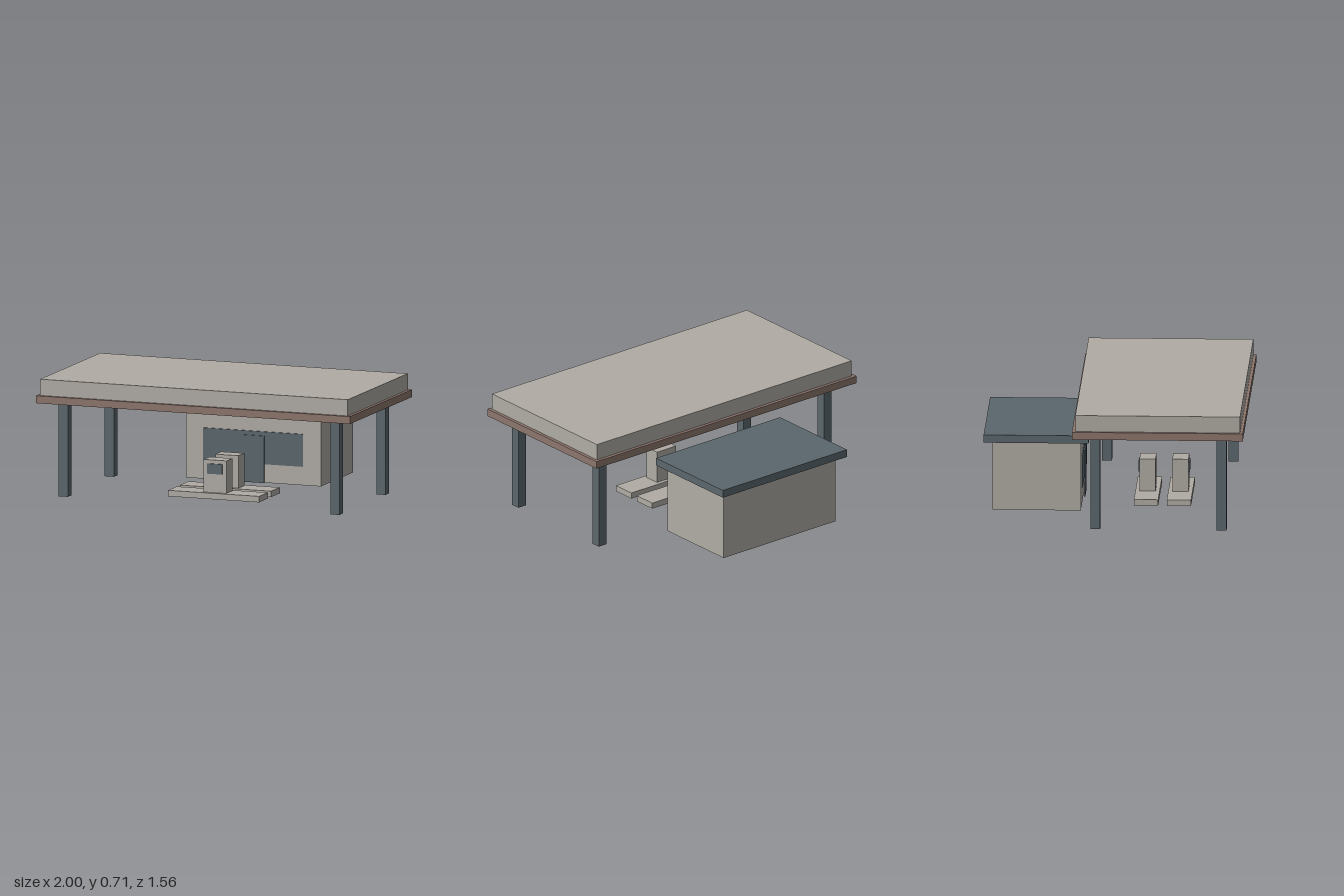
import * as THREE from 'three';

export function createModel() {
  const model = new THREE.Group();
  model.name = 'fuelStation';

  const material = (name, color) => {
    const m = new THREE.MeshStandardMaterial({ color });
    m.name = name;
    return m;
  };
  const concrete = material('warm grey', 0xb0aca5);
  const slate = material('slate', 0x5b676d);
  const trim = material('brown trim', 0x8d766d);

  // Box given by its lower and upper limits on each axis
  const box = (parent, name, mat, [x0, x1], [y0, y1], [z0, z1]) => {
    const mesh = new THREE.Mesh(new THREE.BoxGeometry(x1 - x0, y1 - y0, z1 - z0), mat);
    mesh.position.set((x0 + x1) / 2, (y0 + y1) / 2, (z0 + z1) / 2);
    mesh.name = name;
    parent.add(mesh);
    return mesh;
  };
  const group = (name) => {
    const g = new THREE.Group();
    g.name = name;
    model.add(g);
    return g;
  };

  // Canopy on four posts
  const canopy = group('canopy');
  box(canopy, 'canopyTrim', trim, [-1, 1], [0.57, 0.615], [-0.235, 0.78]);
  box(canopy, 'canopyRoof', concrete, [-0.98, 0.98], [0.615, 0.713], [-0.215, 0.763]);
  for (const x of [-0.865, 0.865]) {
    for (const z of [-0.1, 0.65]) {
      box(canopy, 'canopyPost', slate, [x - 0.029, x + 0.029], [0, 0.57], [z - 0.029, z + 0.029]);
    }
  }

  // Shop with overhanging roof, wide window and central door
  const shop = group('shop');
  box(shop, 'shopWalls', concrete, [-0.43, 0.43], [0, 0.42], [-0.73, -0.205]);
  box(shop, 'shopRoof', slate, [-0.477, 0.477], [0.42, 0.467], [-0.78, -0.157]);
  box(shop, 'shopWindow', slate, [-0.318, 0.318], [0.112, 0.308], [-0.206, -0.198]);
  box(shop, 'shopDoor', slate, [-0.074, 0.074], [0, 0.283], [-0.201, -0.192]);

  // Two pump islands, with screens facing away from each other
  for (const [z, facing] of [[0.372, 1], [0.177, -1]]) {
    const island = group('pumpIsland');
    island.position.z = z;
    box(island, 'islandBase', concrete, [-0.29, 0.29], [0, 0.036], [-0.072, 0.072]);
    box(island, 'pumpBody', concrete, [-0.073, 0.073], [0.036, 0.232], [-0.048, 0.048]);
    const screen = box(island, 'pumpScreen', slate, [-0.047, 0.047], [0.149, 0.21], [-0.0045, 0.0045]);
    screen.position.z = facing * 0.0505;
  }

  return model;
}
